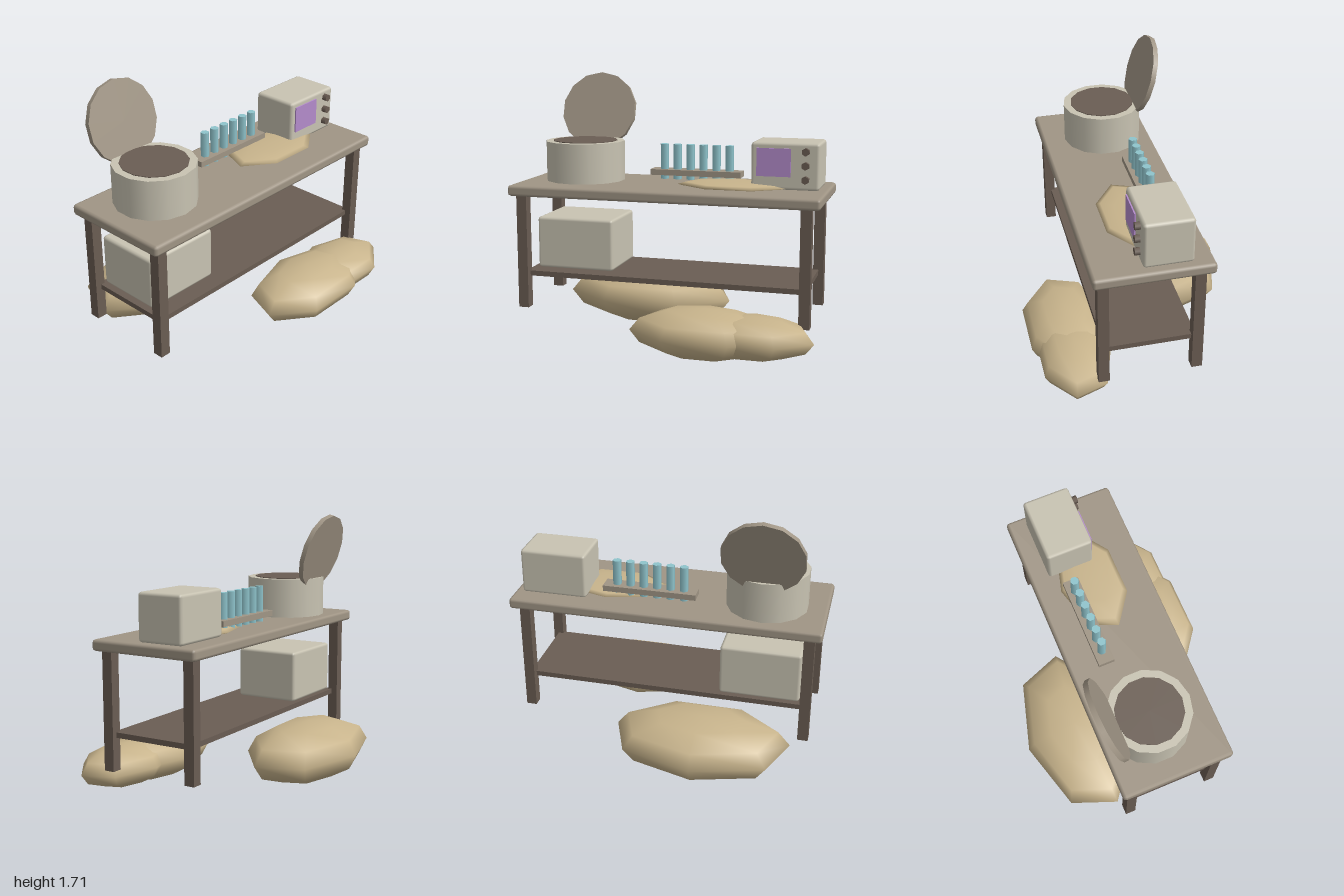
import * as THREE from 'three';
import { RoundedBoxGeometry } from 'three/addons/geometries/RoundedBoxGeometry.js';

const material = (name, color) => {
  const m = new THREE.MeshStandardMaterial({ color });
  m.name = name;
  return m;
};

export function createModel() {
  const cream = material('cream casing', 0xc8c3b2);
  const taupe = material('taupe board', 0xa09585);
  const brown = material('dark brown', 0x6a5d53);
  const cloth = material('sackcloth', 0xc8b48c);
  const glass = material('teal glass', 0x8fc4cc);
  const violet = material('violet screen', 0xb48ccc);

  const model = new THREE.Group();
  model.name = 'workbench';

  const add = (name, geometry, mat, x, y, z, parent = model) => {
    const mesh = new THREE.Mesh(geometry, mat);
    mesh.name = name;
    mesh.position.set(x, y, z);
    parent.add(mesh);
    return mesh;
  };
  const group = (name) => {
    const g = new THREE.Group();
    g.name = name;
    model.add(g);
    return g;
  };
  const box = (w, h, d) => new THREE.BoxGeometry(w, h, d);
  const softBox = (w, h, d, r) => new RoundedBoxGeometry(w, h, d, 1, r);

  // Table: bevelled top, four legs, low shelf
  const table = group('table');
  add('tableTop', softBox(1.985, 0.07, 0.725, 0.02), taupe, 0, 1.003, 0.043, table);
  for (const x of [-0.912, 0.905]) {
    for (const z of [0.336, -0.24]) {
      add('leg', box(0.067, 0.74, 0.067), brown, x, 0.61, z, table);
    }
  }
  add('shelf', box(1.81, 0.033, 0.56), brown, 0, 0.459, 0.047, table);

  // Crate on the shelf
  add('storageCrate', softBox(0.515, 0.335, 0.43, 0.02), cream, -0.612, 0.643, 0.005);

  // Round drum with dark opening and an open, leaning lid
  const drum = group('drum');
  add('drumBody', new THREE.CylinderGeometry(0.258, 0.258, 0.257, 14), cream, -0.612, 1.166, 0, drum);
  add('drumOpening', new THREE.CylinderGeometry(0.21, 0.21, 0.008, 14), brown, -0.612, 1.295, 0, drum);
  const lid = add('drumLid', new THREE.CylinderGeometry(0.258, 0.258, 0.032, 14), taupe, -0.612, 1.471, -0.271, drum);
  lid.rotation.x = Math.PI / 2 - 0.295;

  // Rack with six tubes
  const rack = group('tubeRack');
  add('rackBar', box(0.6, 0.037, 0.104), taupe, 0.12, 1.096, -0.09, rack);
  const tube = new THREE.CylinderGeometry(0.028, 0.028, 0.228, 6);
  for (let i = 0; i < 6; i++) {
    add('tube', tube, glass, -0.096 + i * 0.0866, 1.164, -0.09, rack);
  }

  // Instrument with screen and three knobs
  const instrument = group('instrument');
  add('instrumentCase', softBox(0.425, 0.292, 0.304, 0.02), cream, 0.728, 1.183, -0.046, instrument);
  add('screen', box(0.213, 0.174, 0.009), violet, 0.658, 1.207, 0.11, instrument);
  const knob = new THREE.CylinderGeometry(0.025, 0.025, 0.04, 6);
  for (const y of [1.278, 1.192, 1.106]) {
    add('knob', knob, brown, 0.857, y, 0.118, instrument).rotation.x = -Math.PI / 2;
  }

  // Sacks on the ground and a flat cloth heap: squashed low-poly spheres
  const blob = (name, x, y, z, rx, ry, rz) => {
    const g = new THREE.SphereGeometry(1, 7, 6, -Math.PI / 2);
    g.scale(rx, ry, rz);
    add(name, g, cloth, x, y, z);
  };
  blob('backSack', -0.27, 0.198, -0.366, 0.583, 0.19, 0.346);
  blob('frontSack', 0.31, 0.198, 0.455, 0.466, 0.154, 0.278);
  blob('smallFrontSack', 0.612, 0.198, 0.457, 0.388, 0.13, 0.235);
  blob('clothHeap', 0.396, 1.046, 0.041, 0.362, 0.029, 0.206);

  return model;
}
